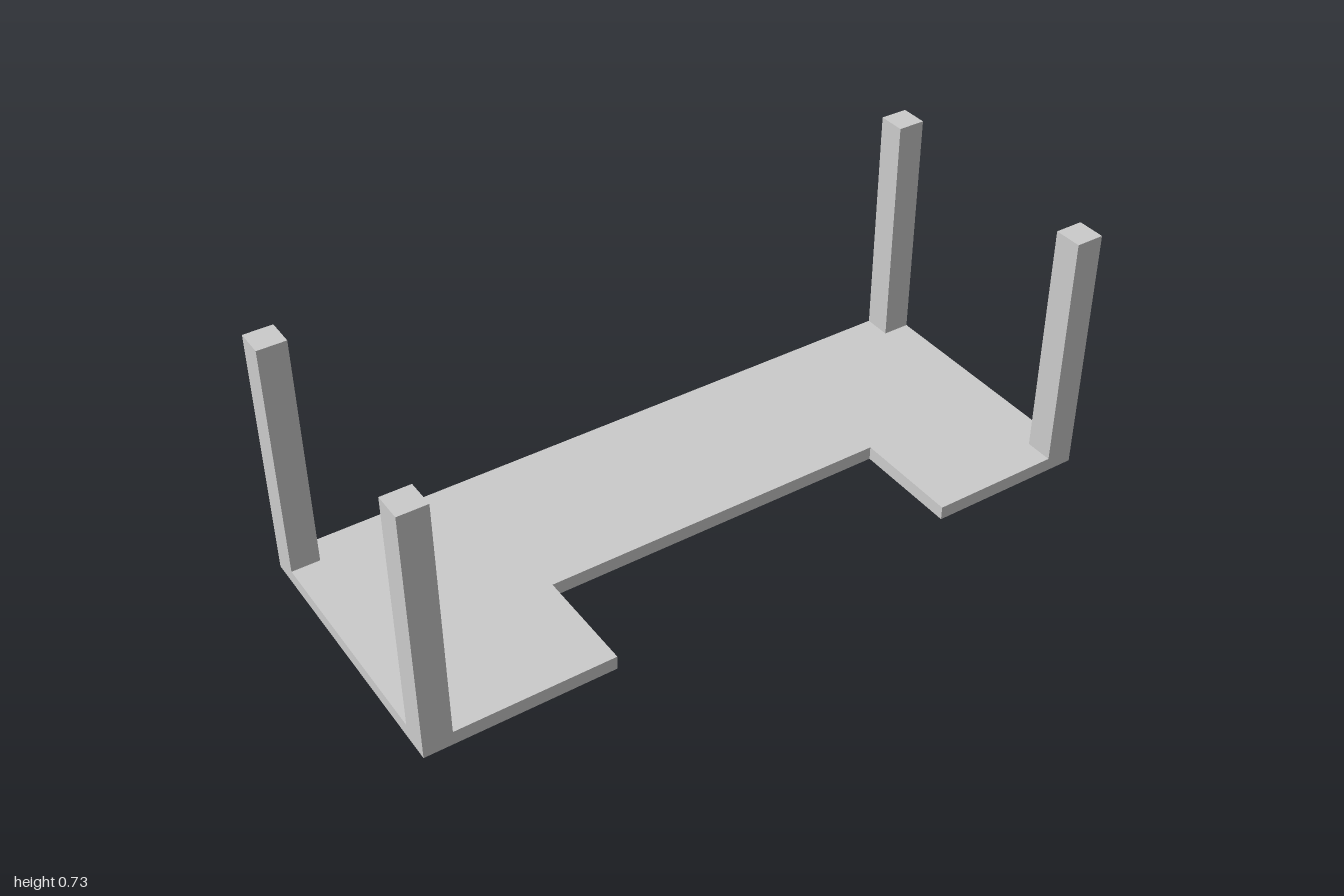
import * as THREE from 'three';

export function createModel() {
  const group = new THREE.Group();
  const material = new THREE.MeshStandardMaterial({ color: 0xcccccc, flatShading: true });
  const thickness = 0.04, height = 0.73, legSize = 0.08;
  const halfX = 1, halfZ = 0.4;

  // Flat top with a rectangular notch cut into its front edge; outline drawn as (x, z)
  const outline = [
    [-halfX, -halfZ], [halfX, -halfZ], [halfX, halfZ], [0.545, halfZ],
    [0.545, 0.09], [-0.47, 0.09], [-0.47, halfZ], [-halfX, halfZ],
  ].map(([x, z]) => new THREE.Vector2(x, z));
  const topGeometry = new THREE.ExtrudeGeometry(new THREE.Shape(outline), {
    depth: thickness, bevelEnabled: false,
  });
  topGeometry.rotateX(Math.PI / 2).translate(0, thickness, 0);
  const top = new THREE.Mesh(topGeometry, material);
  top.name = 'notchedTop';
  group.add(top);

  // Four square legs standing on the corners
  const legHeight = height - thickness;
  const legGeometry = new THREE.BoxGeometry(legSize, legHeight, legSize);
  for (const [sideName, sx] of [['Left', 1], ['Right', -1]]) {
    for (const [endName, sz] of [['front', 1], ['back', -1]]) {
      const leg = new THREE.Mesh(legGeometry, material);
      leg.name = `${endName}${sideName}Leg`;
      leg.position.set(
        sx * (halfX - legSize / 2),
        thickness + legHeight / 2,
        sz * (halfZ - legSize / 2),
      );
      group.add(leg);
    }
  }
  return group;
}
